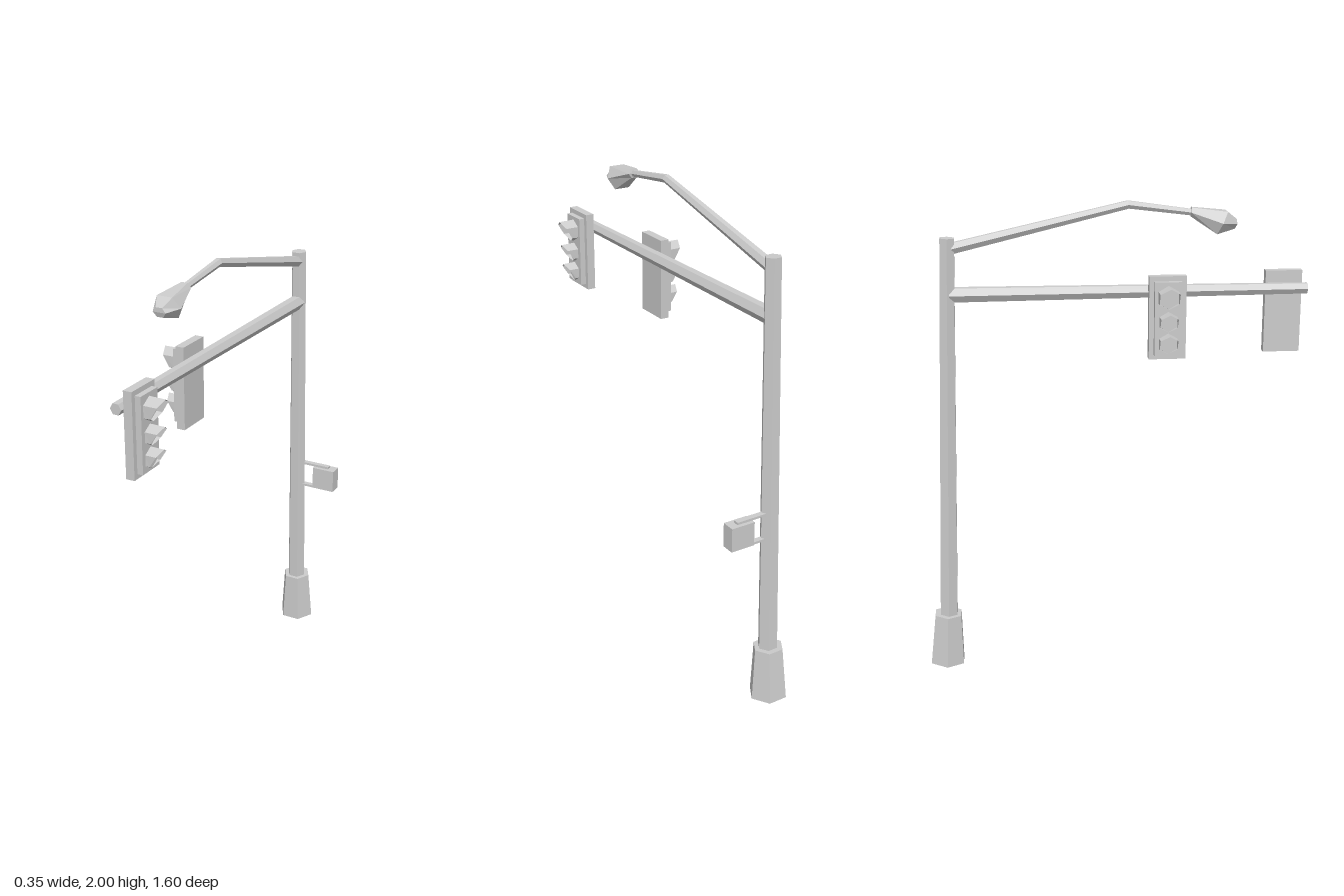
import * as THREE from 'three';

const X0 = -0.022; // plane in which the pole and both arms lie
const V = (x, y, z) => new THREE.Vector3(x, y, z);
const solid = new THREE.MeshStandardMaterial({ color: 0xcccccc, flatShading: true });
const thin = new THREE.MeshStandardMaterial({ color: 0xcccccc, flatShading: true, side: THREE.DoubleSide });

// Skin a list of equal-length point rings, counter-clockwise about the direction of travel
function loft(name, rings, capped = true) {
  const pos = [];
  const tri = (...pts) => pts.forEach((p) => pos.push(p.x, p.y, p.z));
  const n = rings[0].length;
  for (let r = 0; r < rings.length - 1; r++) {
    const a = rings[r], b = rings[r + 1];
    for (let i = 0; i < n; i++) {
      const j = (i + 1) % n;
      tri(a[i], a[j], b[j]);
      tri(a[i], b[j], b[i]);
    }
  }
  if (capped) {
    const a = rings[0], b = rings[rings.length - 1];
    for (let i = 1; i < n - 1; i++) {
      tri(a[0], a[i + 1], a[i]);
      tri(b[0], b[i], b[i + 1]);
    }
  }
  const geo = new THREE.BufferGeometry();
  geo.setAttribute('position', new THREE.Float32BufferAttribute(pos, 3));
  geo.computeVertexNormals();
  const mesh = new THREE.Mesh(geo, capped ? solid : thin);
  mesh.name = name;
  return mesh;
}

// Six-sided tapered bar along points [y, z, radius]
function hexBar(name, path) {
  const rings = path.map(([y, z, r], k) => {
    const p = path[Math.max(k - 1, 0)], q = path[Math.min(k + 1, path.length - 1)];
    const len = Math.hypot(q[0] - p[0], q[1] - p[1]);
    const ty = (q[0] - p[0]) / len, tz = (q[1] - p[1]) / len;
    return Array.from({ length: 6 }, (_, i) => {
      const t = (i * Math.PI) / 3, s = r * Math.sin(t);
      return V(X0 + r * Math.cos(t), y + s * tz, z - s * ty);
    });
  });
  return loft(name, rings);
}

function box(name, w, h, d, x, y, z) {
  const mesh = new THREE.Mesh(new THREE.BoxGeometry(w, h, d), solid);
  mesh.name = name;
  mesh.position.set(x, y, z);
  return mesh;
}

// Ring of six points in a plane facing +x, one corner on top
function hexRing(y, r, xAt) {
  return Array.from({ length: 6 }, (_, i) => {
    const t = (i * Math.PI) / 3, c = Math.cos(t);
    return V(xAt(c), y + r * c, r * Math.sin(t));
  });
}

// Signal head facing +x, with three hooded lamps
function trafficSignal(name) {
  const g = new THREE.Group();
  g.name = name;
  g.add(box('backPlate', 0.036, 0.342, 0.152, 0.041, 1.531, 0));
  g.add(box('signalHousing', 0.026, 0.302, 0.112, 0.07, 1.531, 0));
  const lamps = [[1.62, 0.048, 0.152], [1.52, 0.042, 0.146], [1.43, 0.043, 0.14]];
  for (const [y, r, reach] of lamps) {
    g.add(loft('lens', [hexRing(y, r, () => 0.08), hexRing(y, r * 0.97, () => 0.086)]));
    // the hood reaches furthest on top and is cut back below
    const cut = (c) => reach - (1 - c) * 0.027;
    g.add(loft('hood', [hexRing(y, r, () => 0.08), hexRing(y, r * 0.97, cut)], false));
  }
  return g;
}

// Cross-section of the street lamp: half widths, then [y, z] of top, middle and bottom
function lampRing(wide, narrow, top, mid, bottom) {
  const at = (x, [y, z]) => V(X0 + x, y, z);
  return [at(wide, mid), at(narrow, top), at(-narrow, top),
    at(-wide, mid), at(-narrow, bottom), at(narrow, bottom)];
}

export function createModel() {
  const model = new THREE.Group();
  model.name = 'trafficLightPole';

  // Upright, leaning slightly forward
  model.add(hexBar('poleBase', [[0, -0.731, 0.081], [0.225, -0.72, 0.064]]));
  model.children[0].geometry.computeBoundingBox();
  model.children[0].position.y = -model.children[0].geometry.boundingBox.min.y;
  model.add(hexBar('pole', [[0.2, -0.718, 0.042], [1.86, -0.661, 0.033]]));

  // Horizontal arm carrying the signals
  model.add(hexBar('signalArm', [[1.632, -0.66, 0.033], [1.632, 0.8, 0.024]]));
  const leftSignal = trafficSignal('leftSignal');
  leftSignal.position.set(X0, 0, 0.708);
  const rightSignal = trafficSignal('rightSignal');
  rightSignal.position.set(X0, 0, 0.216);
  rightSignal.rotation.y = Math.PI;
  model.add(leftSignal, rightSignal);

  // Bent arm with the street lamp
  model.add(hexBar('lampArm', [[1.815, -0.66, 0.025], [1.982, 0.06, 0.018], [1.945, 0.34, 0.014]]));
  model.add(loft('streetLamp', [
    lampRing(0.026, 0.013, [1.968, 0.315], [1.95, 0.31], [1.931, 0.312]),
    lampRing(0.057, 0.033, [1.952, 0.457], [1.908, 0.435], [1.863, 0.415]),
    lampRing(0.027, 0.014, [1.92, 0.497], [1.902, 0.497], [1.882, 0.49]),
  ]));

  // Pedestrian signal on two flat brackets
  model.add(box('pedestrianSignal', 0.104, 0.102, 0.057, 0.123, 0.786, -0.7));
  for (const y of [0.842, 0.731]) {
    model.add(box('bracket', 0.15, 0.01, 0.024, 0.065, y, -0.701));
  }
  return model;
}
